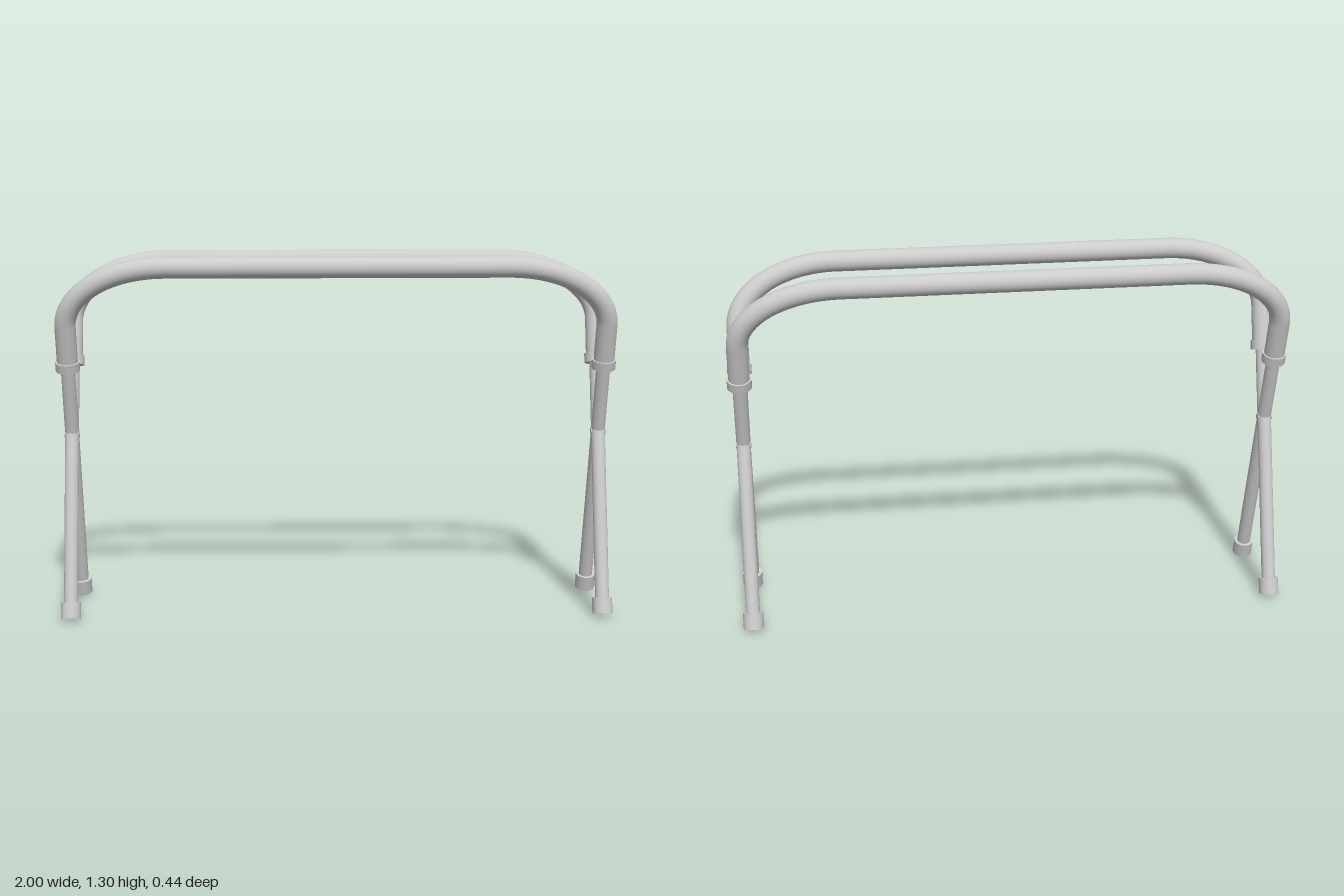
import * as THREE from 'three';

const X = 0.957;      // leg centre line
const TOP = 0.631;    // bar height above the pivot, along the tilted frame
const FOOT = -0.67;   // foot underside below the pivot
const PIVOT_Y = 0.654;
const TILT = 0.277;

const material = new THREE.MeshStandardMaterial({ color: 0xcccccc });

function add(parent, name, geometry, x = 0, y = 0, z = 0) {
  const mesh = new THREE.Mesh(geometry, material);
  mesh.name = name;
  mesh.position.set(x, y, z);
  parent.add(mesh);
  return mesh;
}

// Upright cylinder between two heights
function post(parent, name, radius, x, y0, y1) {
  return add(parent, name, new THREE.CylinderGeometry(radius, radius, y1 - y0, 32), x, (y0 + y1) / 2);
}

// Path of the padded upper tube: up one side, across, down the other
function handlePath() {
  const v = (x, y) => new THREE.Vector3(x, y, 0);
  const flat = 0.6, low = TOP - 0.22, end = 0.26, k = 0.56;
  const bend = (s) => [
    v(s * X, low),
    v(s * X, low + (TOP - low) * k),
    v(s * (flat + (X - flat) * k), TOP),
    v(s * flat, TOP),
  ];
  const path = new THREE.CurvePath();
  path.add(new THREE.LineCurve3(v(-X, end), v(-X, low)));
  path.add(new THREE.CubicBezierCurve3(...bend(-1)));
  path.add(new THREE.LineCurve3(v(-flat, TOP), v(flat, TOP)));
  path.add(new THREE.CubicBezierCurve3(...bend(1).reverse()));
  path.add(new THREE.LineCurve3(v(X, low), v(X, end)));
  return path;
}

// One U-shaped frame, built upright around the pivot
function createFrame(name) {
  const frame = new THREE.Group();
  frame.name = name;
  add(frame, 'upperTube', new THREE.TubeGeometry(handlePath(), 160, 0.037, 32));
  for (const s of [-1, 1]) {
    post(frame, 'collar', 0.043, s * X, 0.246, 0.28);
    post(frame, 'leg', 0.025, s * X, FOOT + 0.02, 0.27);
    post(frame, 'footCap', 0.036, s * X, FOOT, FOOT + 0.058);
  }
  return frame;
}

export function createModel() {
  const model = new THREE.Group();
  model.name = 'foldingStand';

  // Two frames crossing like scissors
  for (const [name, s] of [['frameA', 1], ['frameB', -1]]) {
    const frame = createFrame(name);
    frame.rotation.x = s * TILT;
    frame.position.y = PIVOT_Y;
    model.add(frame);
  }

  // Pivot pins through the crossing legs
  for (const s of [-1, 1]) {
    const pin = add(model, 'pivotPin', new THREE.CylinderGeometry(0.012, 0.012, 0.054, 20), s * X, PIVOT_Y - 0.005, 0);
    pin.rotation.z = Math.PI / 2;
  }
  return model;
}
